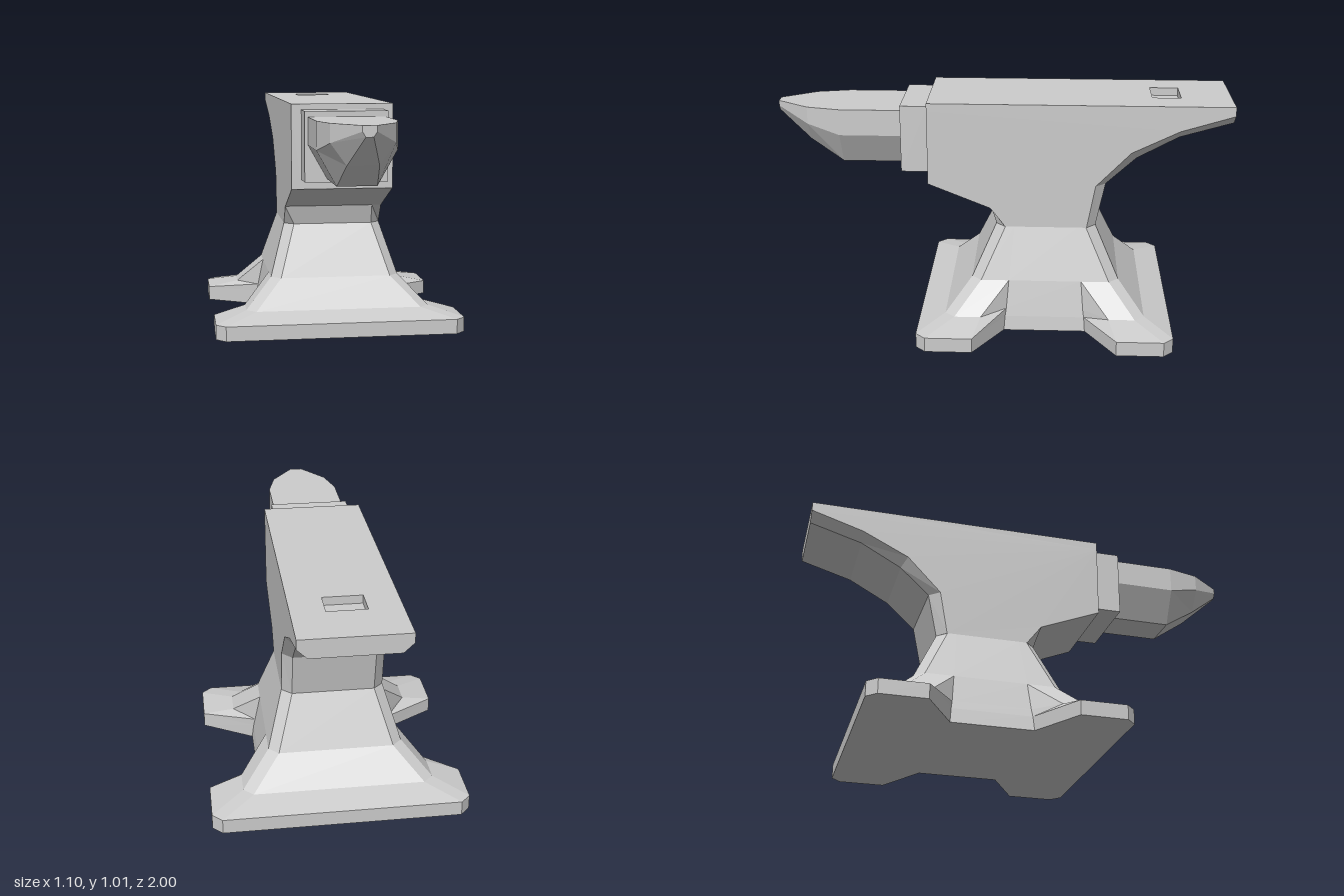
import * as THREE from 'three';

const material = new THREE.MeshStandardMaterial({ color: 0xcccccc, flatShading: true });

// Right-handed mapping of section (u, v) at height w along each axis
const along = {
  x: (u, v, w) => [w, u, v],
  y: (u, v, w) => [v, w, u],
  z: (u, v, w) => [u, v, w],
};

// Joins sections { at, points } with flat faces and caps both ends
function loft(axis, sections) {
  const rings = sections.map(s => s.points.map(p => new THREE.Vector2(...p)));
  if (THREE.ShapeUtils.area(rings[0]) < 0) rings.forEach(r => r.reverse());
  const pos = [];
  const put = (s, i) => pos.push(...along[axis](rings[s][i].x, rings[s][i].y, sections[s].at));
  const n = rings[0].length;
  for (let s = 0; s < rings.length - 1; s++) {
    for (let i = 0; i < n; i++) {
      const j = (i + 1) % n;
      put(s, i); put(s, j); put(s + 1, j);
      put(s, i); put(s + 1, j); put(s + 1, i);
    }
  }
  for (const s of [0, rings.length - 1]) {
    for (const [a, b, c] of THREE.ShapeUtils.triangulateShape(rings[s], [])) {
      const ccw = THREE.ShapeUtils.area([rings[s][a], rings[s][b], rings[s][c]]) > 0;
      const order = ccw === (s > 0) ? [a, b, c] : [a, c, b];
      order.forEach(i => put(s, i));
    }
  }
  const geometry = new THREE.BufferGeometry();
  geometry.setAttribute('position', new THREE.Float32BufferAttribute(pos, 3));
  geometry.computeVertexNormals();
  return geometry;
}

// Plan of the base: chamfered corners, with a notch between the feet on each side
function basePlan(X, Z, footZ, notchX, notchZ) {
  const c = 0.042, centre = -0.2;
  const quarter = [[Z, X - c], [Z - c, X], [footZ, X], [notchZ, notchX]];
  const half = [...quarter, ...quarter.map(([z, x]) => [-z, x]).reverse()];
  return [...half, ...half.map(([z, x]) => [z, -x]).reverse()].map(([z, x]) => [z + centre, x]);
}

export function createModel() {
  const group = new THREE.Group();
  const add = (name, geometry) => {
    const mesh = new THREE.Mesh(geometry, material);
    mesh.name = name;
    group.add(mesh);
    return mesh;
  };

  // Flared base with four feet
  add('base', loft('y', [
    { at: 0, points: basePlan(0.55, 0.555, 0.31, 0.33, 0.18) },
    { at: 0.065, points: basePlan(0.55, 0.555, 0.31, 0.322, 0.175) },
    { at: 0.1, points: basePlan(0.41, 0.437, 0.28, 0.315, 0.17) },
    { at: 0.225, points: basePlan(0.29, 0.325, 0.16, 0.29, 0.16) },
    { at: 0.455, points: basePlan(0.22, 0.22, 0.14, 0.22, 0.14) },
  ]));

  // Body: side profile (y, z), swelling out to the middle profile over a chamfer
  const front = [[0.98, 0.32], [0.65, 0.32], [0.54, 0.045]];
  const side = [...front, [0.455, -0.02], [0.455, -0.38], [0.65, -0.415],
    [0.805, -0.565], [0.905, -0.77], [0.975, -1], [0.98, -1]];
  const middle = [...front, [0.455, 0.02], [0.455, -0.42], [0.65, -0.46],
    [0.77, -0.59], [0.868, -0.77], [0.935, -1], [0.98, -1]];
  add('body', loft('x', [
    { at: -0.22, points: side },
    { at: -0.178, points: middle },
    { at: 0.178, points: middle },
    { at: 0.22, points: side },
  ]));

  // Face plate with the square tool hole (shape y becomes -z)
  const rect = (T, x, z0, z1) => new T([[-x, -z1], [x, -z1], [x, -z0], [-x, -z0]]
    .map(p => new THREE.Vector2(...p)));
  const plate = rect(THREE.Shape, 0.22, -1, 0.32);
  plate.holes.push(rect(THREE.Path, 0.082, -0.78, -0.655));
  const face = add('facePlate', new THREE.ExtrudeGeometry(plate, { depth: 0.035, bevelEnabled: false }));
  face.rotation.x = -Math.PI / 2;
  face.position.y = 0.98;

  // Step between face and horn
  add('step', new THREE.BoxGeometry(0.354, 0.298, 0.12)).position.set(0, 0.841, 0.38);

  // Horn: flat top, tapering to a small blunt tip
  const horn = (at, top, mid, midY, low, lowY) => ({
    at,
    points: [[top, 0.966], [-top, 0.966], [-mid, midY], [-low, lowY], [low, lowY], [mid, midY]],
  });
  add('horn', loft('z', [
    horn(0.44, 0.163, 0.163, 0.85, 0.082, 0.706),
    horn(0.71, 0.163, 0.163, 0.85, 0.082, 0.706),
    horn(0.855, 0.128, 0.128, 0.89, 0.064, 0.802),
    horn(1, 0.028, 0.028, 0.943, 0.015, 0.922),
  ]));

  return group;
}
